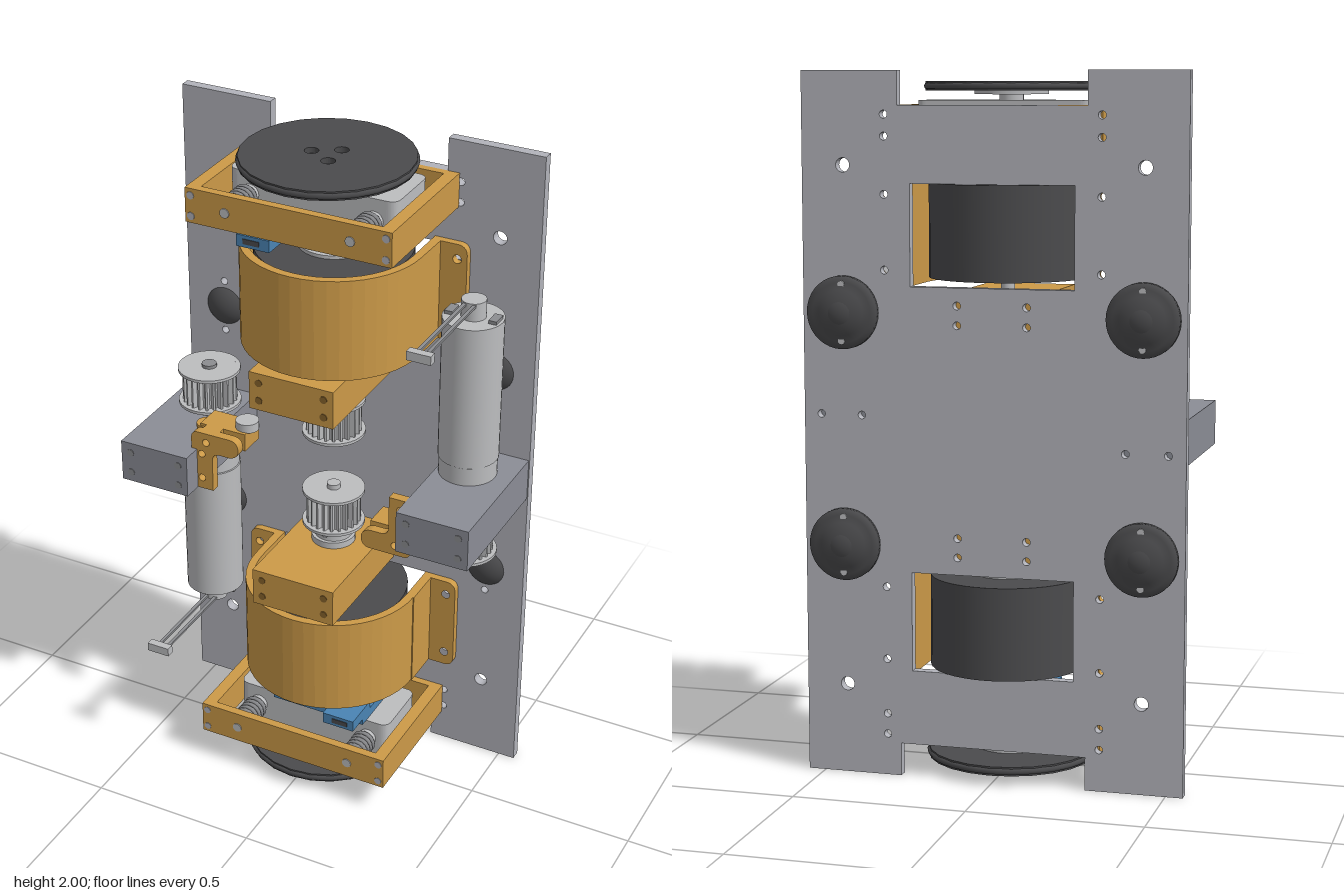
import * as THREE from 'three';

const mat = (name, color, side = THREE.FrontSide) => {
  const m = new THREE.MeshStandardMaterial({ color, side });
  m.name = name;
  return m;
};

export function createModel() {
  const plateGrey = mat('plate grey', 0xb2b3ba);
  const blockGrey = mat('block grey', 0x8b8d96);
  const orange = mat('orange', 0xcc9a48);
  const holeBrown = mat('hole brown', 0x87632c);
  const metal = mat('light metal', 0xbcbdbf);
  const steel = mat('steel', 0x8c8d90);
  const dark = mat('dark rubber', 0x4b4b4d);
  const blue = mat('blue', 0x4a84b4);

  const model = new THREE.Group();
  model.name = 'twinDriveChassis';

  // Everything in one half; the other half is the same turned 180 degrees
  function buildHalf(name) {
    const g = new THREE.Group();
    g.name = name;
    const add = (n, geo, m, x = 0, y = 0, z = 0, parent = g) => {
      const mesh = new THREE.Mesh(geo, m);
      mesh.name = n;
      mesh.position.set(x, y, z);
      parent.add(mesh);
      return mesh;
    };
    // Box given by its limits
    const box = (n, m, x0, x1, y0, y1, z0, z1) =>
      add(n, new THREE.BoxGeometry(x1 - x0, y1 - y0, z1 - z0), m, (x0 + x1) / 2, (y0 + y1) / 2, (z0 + z1) / 2);
    // Upright cylinder between two heights
    const cyl = (n, m, r, y0, y1, x, z, seg = 32) =>
      add(n, new THREE.CylinderGeometry(r, r, y1 - y0, seg), m, x, (y0 + y1) / 2, z);
    // Cylinder pointing along z
    const cylZ = (n, m, r, x, y, z0, z1, seg = 16) => {
      const c = add(n, new THREE.CylinderGeometry(r, r, z1 - z0, seg), m, x, y, (z0 + z1) / 2);
      c.rotation.x = Math.PI / 2;
      return c;
    };
    const extrude = (shape, depth) => new THREE.ExtrudeGeometry(shape, { depth, bevelEnabled: false, curveSegments: 12 });
    // Plan shape (x, -z) raised from y0 to y1
    const riseY = (n, m, shape, y0, y1, x = 0, z = 0) =>
      add(n, extrude(shape, y1 - y0).rotateX(-Math.PI / 2), m, x, y0, z);
    const hole = (shape, x, y, r) => shape.holes.push(new THREE.Path().absarc(x, y, r, 0, Math.PI * 2, true));
    const rect = (x0, y0, x1, y1, Type = THREE.Shape) =>
      new Type([[x0, y0], [x1, y0], [x1, y1], [x0, y1]].map(p => new THREE.Vector2(...p)));

    // Half of the base plate with its end notch, window and holes
    const plate = new THREE.Shape([[-0.55, 1], [0.55, 1], [0.55, 2], [0.27, 2], [0.27, 1.905], [-0.27, 1.905], [-0.27, 2], [-0.55, 2]]
      .map(p => new THREE.Vector2(...p)));
    plate.holes.push(rect(-0.235, 1.405, 0.235, 1.69, THREE.Path));
    for (const s of [-1, 1]) {
      hole(plate, s * 0.43, 1.74, 0.02);
      for (const y of [1.25, 1.41]) hole(plate, s * 0.43, y, 0.011);
      for (const y of [1.45, 1.66, 1.82, 1.88]) hole(plate, s * 0.31, y, 0.011);
      for (const y of [1.30, 1.355]) hole(plate, s * 0.1, y, 0.011);
    }
    for (const [x, y] of [[0.38, 1.04], [0.5, 1.04]]) hole(plate, x, y, 0.011);
    add('basePlate', extrude(plate, 0.03), plateGrey, 0, 0, -0.23);

    // Drum housing: curved shell with two screwed flanges
    const shell = new THREE.Shape();
    shell.moveTo(-0.265, 0.2).lineTo(-0.265, 0.06).absarc(0, 0.06, 0.262, Math.PI, Math.PI * 2, false);
    shell.lineTo(0.265, 0.2).lineTo(0.238, 0.2).lineTo(0.238, 0.06);
    shell.absarc(0, 0.06, 0.238, Math.PI * 2, Math.PI, true).lineTo(-0.238, 0.2);
    riseY('drumHousing', orange, shell, 1.405, 1.705);
    for (const s of [-1, 1]) {
      const f = new THREE.Shape();
      f.moveTo(s * 0.24, 1.405).lineTo(s * 0.315, 1.405).quadraticCurveTo(s * 0.345, 1.405, s * 0.345, 1.435);
      f.lineTo(s * 0.345, 1.675).quadraticCurveTo(s * 0.345, 1.705, s * 0.315, 1.705).lineTo(s * 0.24, 1.705);
      for (const y of [1.45, 1.66]) hole(f, s * 0.315, y, 0.013);
      add('housingFlange', extrude(f, 0.022), orange, 0, 0, -0.2);
    }

    // Drum on its shaft
    cyl('drum', dark, 0.222, 1.425, 1.69, 0, -0.06, 40);
    cyl('drumHub', metal, 0.1, 1.415, 1.7, 0, -0.06);
    cyl('driveShaft', metal, 0.02, 1.08, 1.8, 0, -0.06, 20);

    // Bearing block
    box('bearingBlock', orange, -0.13, 0.13, 1.27, 1.385, -0.2, 0.2);
    for (const x of [-0.1, 0.1]) for (const y of [1.3, 1.355])
      cylZ('bearingScrewHole', holeBrown, 0.011, x, y, 0.195, 0.202);
    cyl('bearing', metal, 0.065, 1.25, 1.275, 0, -0.06);

    // Toothed pulleys
    const pulley = (n, x, z, y0, y1) => {
      const teeth = 22, s = new THREE.Shape();
      for (let i = 0; i < teeth * 4; i++) {
        const a = i / (teeth * 4) * Math.PI * 2, r = i % 4 < 2 ? 0.08 : 0.066;
        s[i ? 'lineTo' : 'moveTo'](r * Math.cos(a), r * Math.sin(a));
      }
      riseY(n + 'Teeth', metal, s, y0, y1, x, z);
      cyl(n + 'Flange', metal, 0.092, y0, y0 + 0.009, x, z);
      cyl(n + 'Flange', metal, 0.092, y1 - 0.009, y1, x, z);
    };
    pulley('shaftPulley', 0, -0.06, 1.095, 1.21);
    cyl('pulleyCollar', metal, 0.055, 1.21, 1.25, 0, -0.06);
    cylZ('collarScrew', steel, 0.01, 0, 1.23, -0.01, -0.002);
    pulley('motorPulley', 0.415, -0.073, 0.805, 0.92);
    cyl('motorCollar', metal, 0.055, 0.91, 0.95, 0.415, -0.073);
    cyl('motorShaft', steel, 0.022, 0.795, 0.95, 0.415, -0.073, 20);

    // Motor, its mounting block and rear terminals
    box('motorBlock', blockGrey, 0.33, 0.547, 0.943, 1.07, -0.2, 0.215);
    for (const x of [0.36, 0.517]) for (const y of [0.975, 1.04])
      cylZ('blockScrewHole', steel, 0.011, x, y, 0.21, 0.217);
    cyl('gearbox', metal, 0.083, 1.07, 1.125, 0.415, -0.073);
    cyl('motorBody', metal, 0.086, 1.127, 1.56, 0.415, -0.073);
    cyl('motorEndCap', metal, 0.035, 1.56, 1.613, 0.415, -0.073);
    for (const s of [-1, 1]) {
      box('motorTab', steel, 0.415 + s * 0.065 - 0.012, 0.415 + s * 0.065 + 0.012, 1.555, 1.57, -0.095, -0.05);
      box('terminalArm', steel, 0.415 + s * 0.014 - 0.005, 0.415 + s * 0.014 + 0.005, 1.602, 1.609, -0.06, 0.255);
    }
    box('armEnd', metal, 0.38, 0.45, 1.588, 1.614, 0.254, 0.278);

    // Belt tensioner: angled bracket with idler
    const ell = new THREE.Shape();
    ell.moveTo(0.28, 1.07).lineTo(0.28, 0.97).quadraticCurveTo(0.28, 0.945, 0.255, 0.945);
    ell.lineTo(0.225, 0.945).quadraticCurveTo(0.195, 0.94, 0.195, 0.915).quadraticCurveTo(0.195, 0.885, 0.225, 0.885);
    ell.lineTo(0.325, 0.885).quadraticCurveTo(0.348, 0.885, 0.348, 0.91).lineTo(0.348, 1.07);
    for (const [x, y] of [[0.315, 1.035], [0.315, 0.955], [0.3, 0.915]]) hole(ell, x, y, 0.011);
    add('tensionerBracket', extrude(ell, 0.028), orange, 0, 0, 0.127);
    box('tensionerArm', orange, 0.2, 0.345, 0.887, 0.942, 0.022, 0.105);
    box('tensionerBridge', orange, 0.27, 0.325, 0.887, 0.942, 0.1, 0.13);
    cyl('tensionerIdler', metal, 0.034, 0.863, 0.89, 0.215, 0.062, 20);
    const tab = new THREE.Shape();
    tab.moveTo(0.3, -0.05).lineTo(0.338, -0.05).absarc(0.338, -0.08, 0.03, Math.PI / 2, -Math.PI / 2, true).lineTo(0.3, -0.11);
    hole(tab, 0.338, -0.08, 0.012);
    riseY('tensionerTab', orange, tab, 0.895, 0.935);

    // Rectangular end frame
    const frame = rect(-0.305, -0.215, 0.305, 0.2);
    frame.holes.push(rect(-0.268, -0.19, 0.268, 0.178, THREE.Path));
    riseY('endFrame', orange, frame, 1.805, 1.905);
    for (const s of [-1, 1]) {
      for (const y of [1.825, 1.885]) cylZ('frameScrewHole', plateGrey, 0.011, s * 0.288, y, 0.21, 0.217);
      cylZ('frameScrew', metal, 0.014, s * 0.185, 1.855, 0.21, 0.218);
      // Springs standing inside the frame
      cylZ('springRod', metal, 0.027, s * 0.185, 1.855, 0.07, 0.19);
      for (let i = 0; i < 6; i++)
        add('springCoil', new THREE.TorusGeometry(0.03, 0.007, 6, 16), steel, s * 0.185, 1.855, 0.1 + i * 0.016);
    }

    // Carriage that carries the wheel
    const carriage = new THREE.Shape();
    carriage.moveTo(-0.22, -0.075).lineTo(0.22, -0.075).quadraticCurveTo(0.25, -0.075, 0.25, -0.045);
    carriage.lineTo(0.25, 0.09).quadraticCurveTo(0.25, 0.12, 0.22, 0.12).lineTo(-0.22, 0.12);
    carriage.quadraticCurveTo(-0.25, 0.12, -0.25, 0.09).lineTo(-0.25, -0.045).quadraticCurveTo(-0.25, -0.075, -0.22, -0.075);
    riseY('wheelCarriage', metal, carriage, 1.795, 1.918);

    // Blue circuit unit below the carriage
    cyl('sensorBody', blue, 0.115, 1.735, 1.79, 0, -0.025);
    box('sensorBoard', blue, -0.18, 0.12, 1.765, 1.795, -0.1, 0.1);
    box('sensorConnector', blue, -0.18, -0.08, 1.74, 1.775, 0.05, 0.165);
    box('sensorTail', blue, -0.04, 0.04, 1.755, 1.78, -0.145, -0.1);
    box('sensorSocket', dark, -0.16, -0.11, 1.75, 1.765, 0.16, 0.167);

    // Friction wheel with three screw holes
    const disc = new THREE.Shape().absarc(0, 0, 0.241, 0, Math.PI * 2, false);
    for (const [x, z] of [[-0.048, -0.02], [0.022, -0.06], [0.022, 0.02]]) {
      hole(disc, x, -(z + 0.02), 0.02);
      cyl('wheelScrew', metal, 0.012, 1.94, 1.958, x, z, 6);
    }
    riseY('wheelDisc', dark, disc, 1.944, 1.97, 0, -0.02);
    const rim = add('wheelRim', new THREE.TorusGeometry(0.236, 0.01, 8, 48), dark, 0, 1.957, -0.02);
    rim.rotation.x = Math.PI / 2;
    cyl('wheelFlange', metal, 0.105, 1.934, 1.945, 0, -0.02);
    cyl('wheelShaft', metal, 0.034, 1.915, 1.936, 0, -0.02, 20);

    // Ball casters through the plate
    for (const s of [-1, 1]) {
      const ball = add('casterBall', new THREE.SphereGeometry(0.069, 28, 20), dark, s * 0.43, 1.33, -0.228);
      ball.scale.z = 0.77;
      const collar = [[0, 0.045], [0.035, 0.045], [0.065, 0.03], [0.085, 0.022], [0.103, 0.02], [0.103, 0], [0, 0]].reverse();
      const c = add('casterFlange', new THREE.LatheGeometry(collar.map(p => new THREE.Vector2(...p)), 36), dark, s * 0.43, 1.33, -0.23);
      c.rotation.x = -Math.PI / 2;
      for (const y of [1.25, 1.41]) cylZ('casterScrew', metal, 0.01, s * 0.43, y, -0.256, -0.25, 12);
    }
    return g;
  }

  const upper = buildHalf('upperHalf');
  const lower = buildHalf('lowerHalf');
  lower.rotation.z = Math.PI;
  lower.position.y = 2;
  model.add(upper, lower);
  return model;
}
